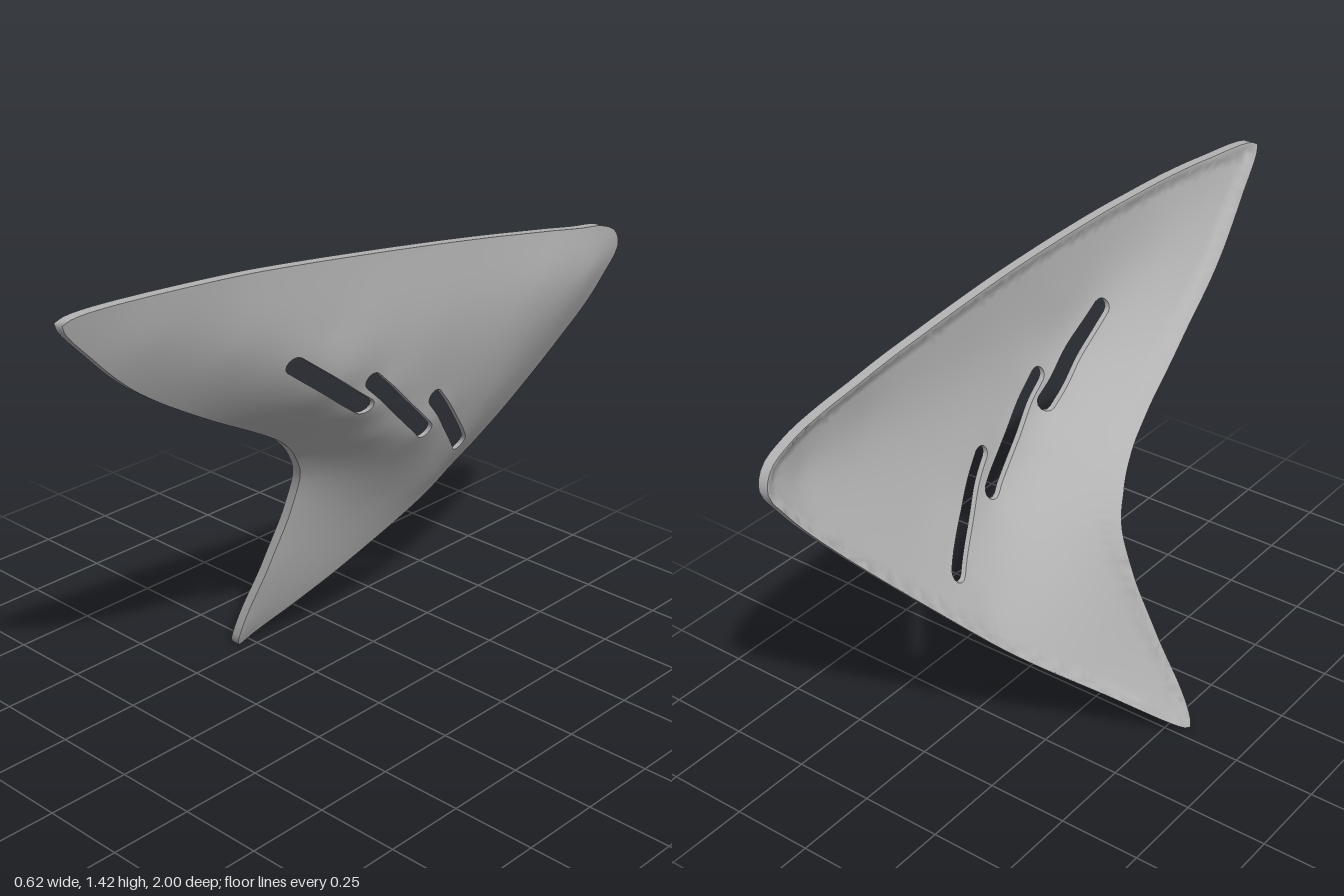
import * as THREE from 'three';
import { mergeVertices } from 'three/addons/utils/BufferGeometryUtils.js';

const RIM = 0.03, SHEET = 0.016, LIP = 0.045, MAX_EDGE = 0.036;

// Side outline as [z, y]: front edge down, back edge up, top edge forward
const frontEdge = [[1, 1.405], [.89, 1.28], [.78, 1.18], [.675, 1.105], [.46, .976], [.246, .858], [.14, .79],
  [.06, .71], [.015, .63], [.005, .495], [.027, .31], [.062, .04], [.05, .004], [.025, .012]];
const backEdge = [[-.18, .2], [-.4, .41], [-.61, .645], [-.83, .9], [-.96, 1.07], [-1, 1.145], [-.975, 1.2]];
const topEdge = [[-.905, 1.235], [-.77, 1.26], [-.395, 1.32], [.03, 1.375], [.46, 1.415], [.78, 1.425], [.97, 1.418]];

// Slot centre lines: [z, y] to [z, y]
const slots = [[.305, 1.125, .043, .933], [.038, 1.013, -.22, .778], [-.225, .885, -.445, .65]];

// Sideways bulge of the outer skin, sampled as [z, y, x]
const edgeBulge = [
  // front edge
  [1, 1.41, .16], [.89, 1.28, .138], [.78, 1.18, .118], [.65, 1.09, .097], [.46, .976, .07], [.35, .915, .052],
  [.246, .858, .035], [.14, .79, .01], [.06, .71, -.022], [.015, .63, -.05], [.005, .495, -.1], [.027, .31, -.165],
  [.048, .15, -.225], [.06, .03, -.267],
  // back edge
  [.02, .02, -.273], [-.08, .105, -.205], [-.18, .2, -.13], [-.29, .305, -.058], [-.4, .41, .01], [-.5, .525, .068],
  [-.61, .645, .125], [-.72, .77, .173], [-.83, .9, .217], [-.96, 1.07, .262],
  // top edge
  [-1, 1.145, .277], [-.9, 1.235, .29], [-.65, 1.28, .296], [-.4, 1.32, .289], [-.2, 1.345, .281], [.03, 1.375, .268],
  [.25, 1.397, .25], [.46, 1.415, .228], [.8, 1.425, .188],
];
const bodyBulge = [
  // broad upper panel
  [-.6, 1.15, .308], [-.85, 1.12, .3], [-.2, 1.15, .285], [.2, 1.2, .25], [.5, 1.2, .19], [.75, 1.3, .17],
  [-.5, .8, .22], [-.7, .93, .252],
  // ridge along the slots
  [.3, 1.13, .222], [.17, 1.03, .23], [.04, 1, .242], [.043, .925, .22], [-.09, .9, .235], [-.2, .78, .212],
  [-.225, .885, .24], [-.34, .77, .205], [-.445, .65, .152],
  // hollow below the ridge and lower blade
  [.1, .86, .12], [-.05, .8, .168], [-.1, .65, .06], [-.25, .68, .155], [-.25, .5, .033], [-.4, .53, .085],
];

// Thin-plate spline through the samples
function fitSurface(pts) {
  const n = pts.length, size = n + 3;
  const kernel = (a, b, c, d) => {
    const r2 = (a - c) ** 2 + (b - d) ** 2;
    return r2 < 1e-12 ? 0 : r2 * Math.log(r2);
  };
  const m = Array.from({ length: size }, () => new Array(size + 1).fill(0));
  pts.forEach(([z, y, x], i) => {
    pts.forEach(([z2, y2], j) => { m[i][j] = kernel(z, y, z2, y2); });
    [1, z, y].forEach((v, k) => { m[i][n + k] = v; m[n + k][i] = v; });
    m[i][size] = x;
  });
  for (let c = 0; c < size; c++) {
    let p = c;
    for (let r = c; r < size; r++) if (Math.abs(m[r][c]) > Math.abs(m[p][c])) p = r;
    [m[c], m[p]] = [m[p], m[c]];
    for (let r = 0; r < size; r++) {
      if (r === c) continue;
      const f = m[r][c] / m[c][c];
      for (let k = c; k <= size; k++) m[r][k] -= f * m[c][k];
    }
  }
  const w = m.map((row, i) => row[size] / row[i]);
  return (z, y) => pts.reduce((s, p, i) => s + w[i] * kernel(z, y, p[0], p[1]), w[n] + w[n + 1] * z + w[n + 2] * y);
}
const outerX = fitSurface([...edgeBulge, ...bodyBulge]);

// Flat contours use u = -z so they read correctly from the outer side
function outline() {
  const pts = [...frontEdge, ...backEdge, ...topEdge].map(([z, y]) => new THREE.Vector3(-z, y, 0));
  const curve = new THREE.CatmullRomCurve3(pts, true, 'centripetal');
  return curve.getSpacedPoints(220).slice(0, -1).map((p) => new THREE.Vector2(p.x, p.y));
}
const edge = outline();

// The sheet thickens into a lip towards the outline
function innerX(z, y) {
  const d = Math.sqrt(Math.min(...edge.map((p) => (p.x + z) ** 2 + (p.y - y) ** 2)));
  return outerX(z, y) - THREE.MathUtils.lerp(RIM, SHEET, THREE.MathUtils.smoothstep(d, 0, LIP));
}

function slotContour([z1, y1, z2, y2]) {
  const a = new THREE.Vector2(-z1, y1), b = new THREE.Vector2(-z2, y2);
  const angle = Math.atan2(b.y - a.y, b.x - a.x), R = 0.025, pts = [];
  for (const [from, to, start] of [[a, b, angle + Math.PI * 1.5], [b, a, angle + Math.PI / 2]]) {
    for (let i = 0; i <= 6; i++) {
      const t = start - Math.PI * i / 6;
      pts.push(new THREE.Vector2(from.x + R * Math.cos(t), from.y + R * Math.sin(t)));
    }
    const last = pts[pts.length - 1], run = to.clone().sub(from);
    for (let i = 1; i < 14; i++) pts.push(last.clone().addScaledVector(run, i / 14));
  }
  return pts;
}

// Halve the longest edge until every triangle is small
function refine(tri, out) {
  let k = 0, longest = 0;
  for (let i = 0; i < 3; i++) {
    const d = tri[i].distanceTo(tri[(i + 1) % 3]);
    if (d > longest + 1e-9) { longest = d; k = i; }
  }
  if (longest < MAX_EDGE) { out.push(tri); return; }
  const a = tri[k], b = tri[(k + 1) % 3], c = tri[(k + 2) % 3];
  const mid = a.clone().add(b).multiplyScalar(0.5);
  refine([a, mid, c], out);
  refine([mid, b, c], out);
}

// One face of the sheet; side is 1 for outer and -1 for inner
function skinGeometry(triangles, surface, side) {
  const pos = [], nor = [], e = 0.004;
  for (const tri of triangles) {
    for (const p of side < 0 ? [tri[0], tri[2], tri[1]] : tri) {
      const z = -p.x, y = p.y;
      const dz = (surface(z + e, y) - surface(z - e, y)) / (2 * e);
      const dy = (surface(z, y + e) - surface(z, y - e)) / (2 * e);
      const n = new THREE.Vector3(side, -side * dy, -side * dz).normalize();
      pos.push(surface(z, y), y, z);
      nor.push(n.x, n.y, n.z);
    }
  }
  const g = new THREE.BufferGeometry();
  g.setAttribute('position', new THREE.Float32BufferAttribute(pos, 3));
  g.setAttribute('normal', new THREE.Float32BufferAttribute(nor, 3));
  return g;
}

// Wall joining outer and inner skins along a contour
function wallGeometry(contour) {
  const pos = [];
  const at = (p, surface) => [surface(-p.x, p.y), p.y, -p.x];
  contour.forEach((a, i) => {
    const b = contour[(i + 1) % contour.length];
    pos.push(...at(a, outerX), ...at(a, innerX), ...at(b, innerX));
    pos.push(...at(a, outerX), ...at(b, innerX), ...at(b, outerX));
  });
  let g = new THREE.BufferGeometry();
  g.setAttribute('position', new THREE.Float32BufferAttribute(pos, 3));
  g = mergeVertices(g, 1e-5);
  g.computeVertexNormals();
  return g;
}

export function createModel() {
  const group = new THREE.Group();
  group.name = 'curvedSidePanel';
  const grey = new THREE.MeshStandardMaterial({ color: 0xb2b2b2 });
  grey.name = 'grey';
  const add = (name, geometry) => {
    const mesh = new THREE.Mesh(geometry, grey);
    mesh.name = name;
    group.add(mesh);
  };

  const holes = slots.map(slotContour);
  const all = [edge, ...holes].flat(), triangles = [];
  for (const f of THREE.ShapeUtils.triangulateShape(edge, holes)) refine(f.map((i) => all[i]), triangles);

  add('outerSkin', skinGeometry(triangles, outerX, 1));
  add('innerSkin', skinGeometry(triangles, innerX, -1));
  add('rim', wallGeometry(edge));
  holes.forEach((h, i) => add(`slotWall${i + 1}`, wallGeometry(h)));
  return group;
}
